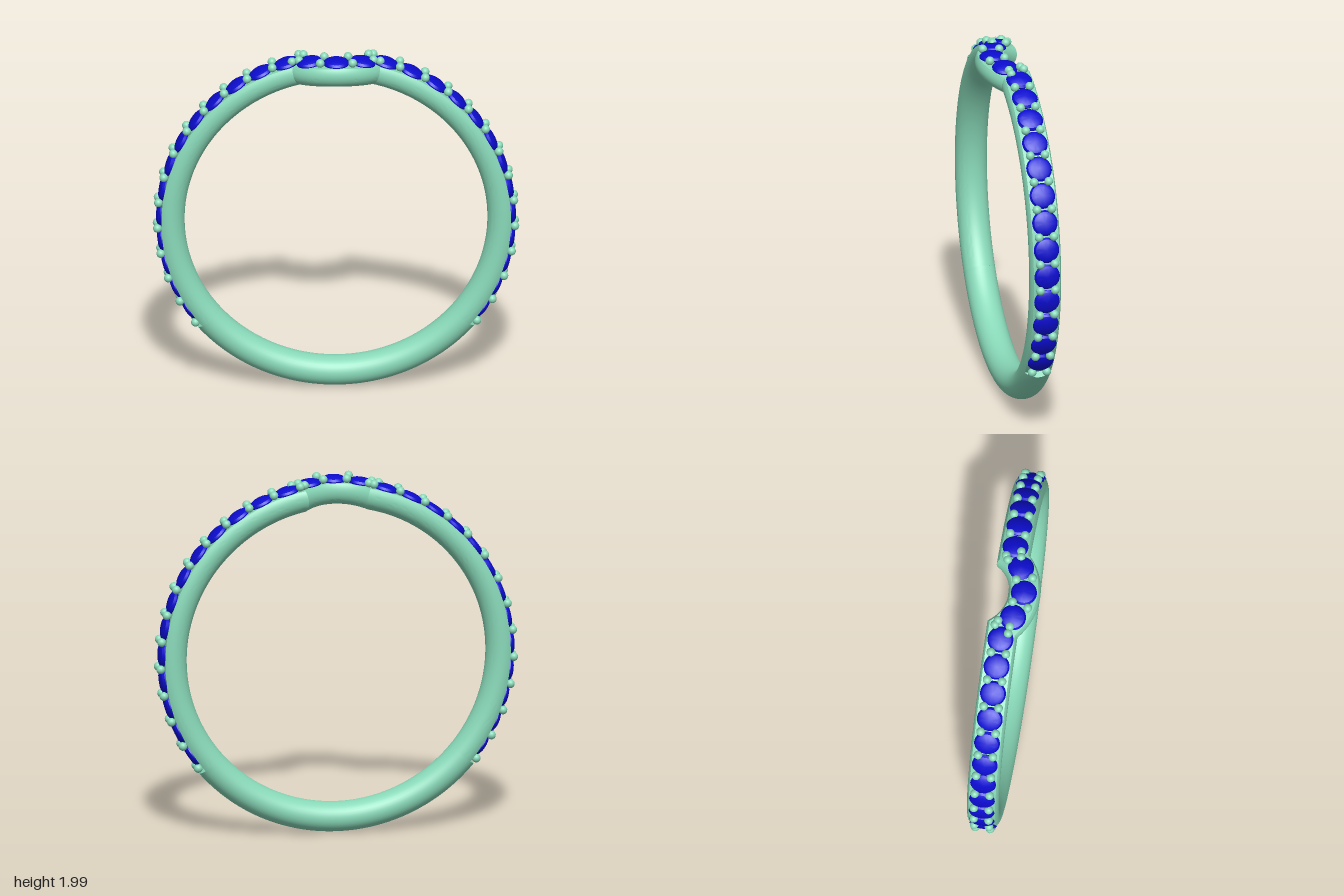
import * as THREE from 'three';
import { toCreasedNormals } from 'three/addons/utils/BufferGeometryUtils.js';

const CY = 0.99;            // ring centre height
const TUBE_R = 0.9075;      // radius of the band's centreline
const HALF_T = 0.0825, HALF_W = 0.0875; // band half thickness and half width
const SEAT_R = 0.953;       // flat seat under the stones
const BAND_Z = -0.045;
const ARC_R = 0.295, ARC_Z = -0.252, JOINT = 0.21; // curved crest at the top
const UNROLL = 0.95;        // radius used to turn arc length into angle
const MITRE = Math.tan(Math.asin(JOINT / ARC_R) / 2);
const DEG = Math.PI / 180;
const SEAT_END = 130 * DEG; // where the stone setting stops

const metal = new THREE.MeshStandardMaterial({ color: 0x88d8b8 });
const gem = new THREE.MeshStandardMaterial({ color: 0x0c0cd0 });

// Wraps a point (angle from the top, radius, z) around the ring
const wrap = (theta, r, z) =>
  new THREE.Vector3(r * Math.sin(theta), CY + r * Math.cos(theta), z);

// Oval band section as [sideways, radius]; with a flat top when cut
function section(cut) {
  const a0 = cut ? Math.asin((SEAT_R - TUBE_R) / HALF_T) : Math.PI / 2;
  const n = 36, pts = [];
  for (let i = 0; i <= (cut ? n : n - 1); i++) {
    const a = Math.PI - a0 + (i / n) * (Math.PI + 2 * a0);
    pts.push([HALF_W * Math.cos(a), TUBE_R + HALF_T * Math.sin(a)]);
  }
  return pts;
}

// Sweeps a section through place(t, u, r), t = 0..1, and caps both ends
function sweep(pts, steps, place) {
  const n = pts.length, pos = [], idx = [];
  for (let i = 0; i <= steps; i++)
    for (const [u, r] of pts) pos.push(...place(i / steps, u, r).toArray());
  pos.push(...place(0, 0, TUBE_R).toArray(), ...place(1, 0, TUBE_R).toArray());
  const c0 = (steps + 1) * n, last = steps * n;
  for (let j = 0; j < n; j++) {
    const k = (j + 1) % n;
    for (let i = 0; i < steps; i++) {
      const a = i * n + j, b = i * n + k;
      idx.push(a, a + n, b, b, a + n, b + n);
    }
    idx.push(c0, j, k, c0 + 1, last + k, last + j);
  }
  const g = new THREE.BufferGeometry();
  g.setAttribute('position', new THREE.Float32BufferAttribute(pos, 3));
  g.setIndex(idx);
  return toCreasedNormals(g, 35 * DEG);
}

export function createModel() {
  const ring = new THREE.Group();
  ring.name = 'ring';
  const add = (name, geo, mat) => {
    const m = new THREE.Mesh(geo, mat);
    m.name = name;
    ring.add(m);
    return m;
  };
  const lerp = THREE.MathUtils.lerp;

  // Plain lower band
  add('lowerBand', sweep(section(false), 60, (t, u, r) =>
    wrap(lerp(SEAT_END, 2 * Math.PI - SEAT_END, t), r, BAND_Z + u)), metal);

  // Side bands with a flat seat, mitred where they meet the crest
  const seat = section(true);
  const start = u => (JOINT + u * MITRE) / UNROLL;
  add('leftBand', sweep(seat, 72, (t, u, r) =>
    wrap(lerp(start(u), SEAT_END, t), r, BAND_Z + u)), metal);
  add('rightBand', sweep(seat, 72, (t, u, r) =>
    wrap(lerp(-SEAT_END, -start(u), t), r, BAND_Z + u)), metal);

  // Crest bowing forward at the top
  add('crest', sweep(seat, 32, (t, u, r) => {
    const s = JOINT + u * MITRE, d = BAND_Z + u - ARC_Z;
    const phi = (2 * t - 1) * Math.atan2(s, d), rad = Math.hypot(s, d);
    return wrap(rad * Math.sin(phi) / UNROLL, r, ARC_Z + rad * Math.cos(phi));
  }), metal);

  // Round cut stone: pointed base, thin girdle, bevelled crown, flat table
  const profile = [[0, -0.04], [0.069, -0.006], [0.071, 0.002], [0.062, 0.014], [0.045, 0.022], [0, 0.024]]
    .map(p => new THREE.Vector2(...p));
  const stoneGeo = toCreasedNormals(new THREE.LatheGeometry(profile, 32), 25 * DEG);
  const beadGeo = new THREE.SphereGeometry(0.024, 16, 12);
  const stone = (theta, z) => {
    const m = add('stone', stoneGeo, gem);
    m.position.copy(wrap(theta, 0.957, z));
    m.rotation.z = -theta;
  };
  const bead = (theta, z) =>
    add('bead', beadGeo, metal).position.copy(wrap(theta, 0.975, z));

  // Stones and paired beads down both sides
  const STEP = 8.93 * DEG, FIRST = 16.5 * DEG;
  for (const side of [-1, 1]) {
    for (let i = 0; i < 13; i++) stone(side * (FIRST + i * STEP), BAND_Z);
    for (let i = 0; i < 14; i++)
      for (const u of [-0.041, 0.041]) bead(side * (FIRST + (i - 0.5) * STEP), BAND_Z + u);
  }

  // Stones and paired beads along the crest
  const GAP = 0.514;
  for (const k of [-1, 0, 1])
    stone(ARC_R * Math.sin(k * GAP) / UNROLL, ARC_Z + ARC_R * Math.cos(k * GAP));
  for (const k of [-1.5, -0.5, 0.5, 1.5])
    for (const u of [-0.045, 0.045])
      bead((ARC_R + u) * Math.sin(k * GAP) / UNROLL, ARC_Z + (ARC_R + u) * Math.cos(k * GAP));

  return ring;
}
